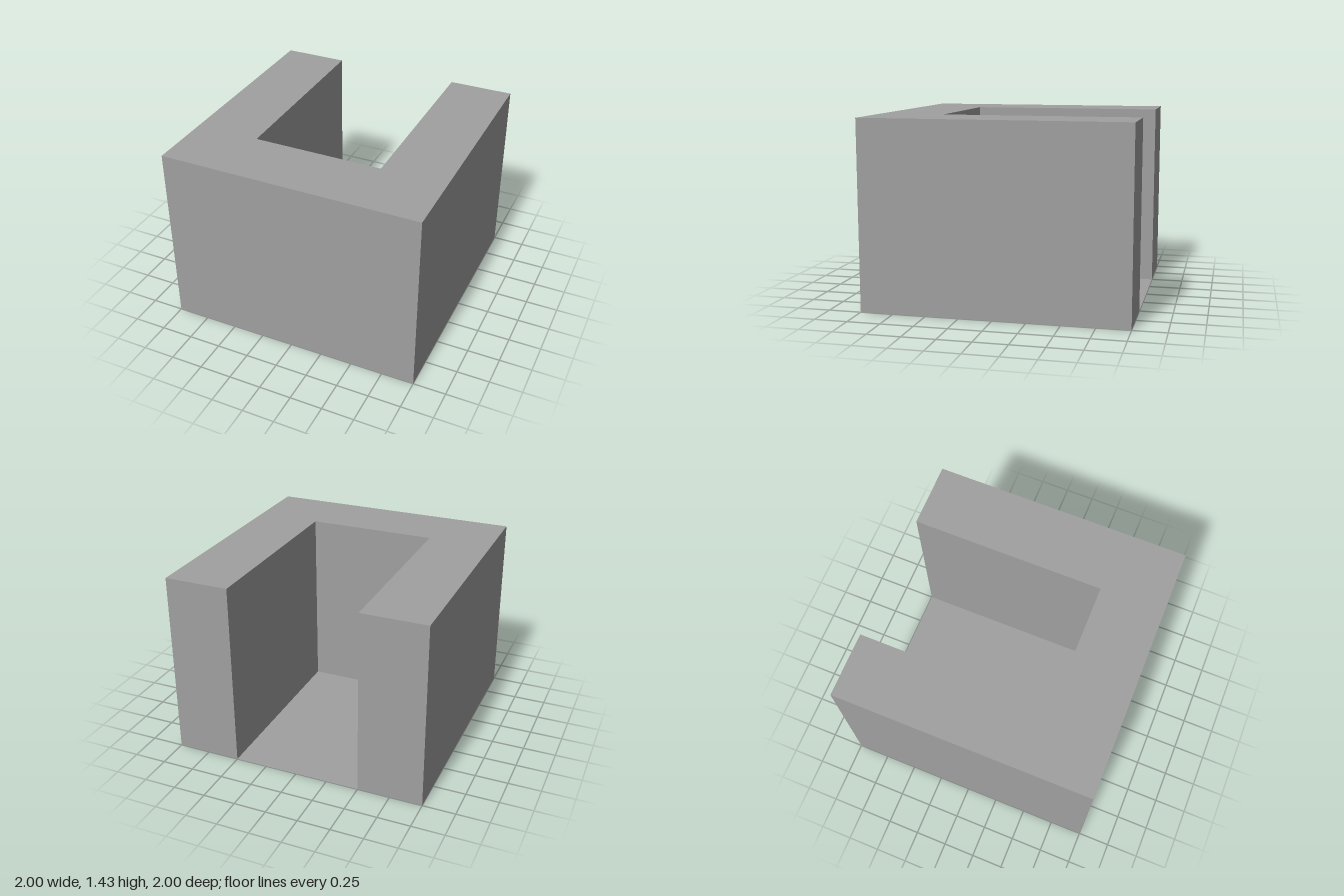
import * as THREE from 'three';

const H = 1.434;

// U-shaped plan as (x, z) corners, open towards the back
const plan = [
  [-1, 1], [1, 1], [1, -1], [0.5, -1],
  [0.5, 0.5], [-0.5, 0.5], [-0.5, -1], [-1, -1],
];
const wallNames = [
  'frontWall', 'leftOuterWall', 'leftArmEnd', 'leftInnerWall',
  'recessWall', 'rightInnerWall', 'rightArmEnd', 'rightOuterWall',
];

export function createModel() {
  const group = new THREE.Group();
  const grey = new THREE.MeshStandardMaterial({ color: 0xa0a0a0, side: THREE.DoubleSide });
  grey.name = 'plain grey';

  const add = (name, geometry) => {
    const mesh = new THREE.Mesh(geometry, grey);
    mesh.name = name;
    group.add(mesh);
    return mesh;
  };

  // One upright sheet per side of the plan
  plan.forEach(([x0, z0], i) => {
    const [x1, z1] = plan[(i + 1) % plan.length];
    const dx = x1 - x0, dz = z1 - z0;
    const wall = add(wallNames[i], new THREE.PlaneGeometry(Math.hypot(dx, dz), H));
    wall.rotation.y = Math.atan2(-dz, dx);
    wall.position.set((x0 + x1) / 2, H / 2, (z0 + z1) / 2);
  });

  // U-shaped top; the underside of the walls stays open
  const shape = new THREE.Shape(plan.map(([x, z]) => new THREE.Vector2(x, -z)));
  add('topFace', new THREE.ShapeGeometry(shape).rotateX(-Math.PI / 2).translate(0, H, 0));

  // Floor of the recess
  add('recessFloor', new THREE.PlaneGeometry(1, 1.5).rotateX(-Math.PI / 2).translate(0, 0, -0.25));

  return group;
}
